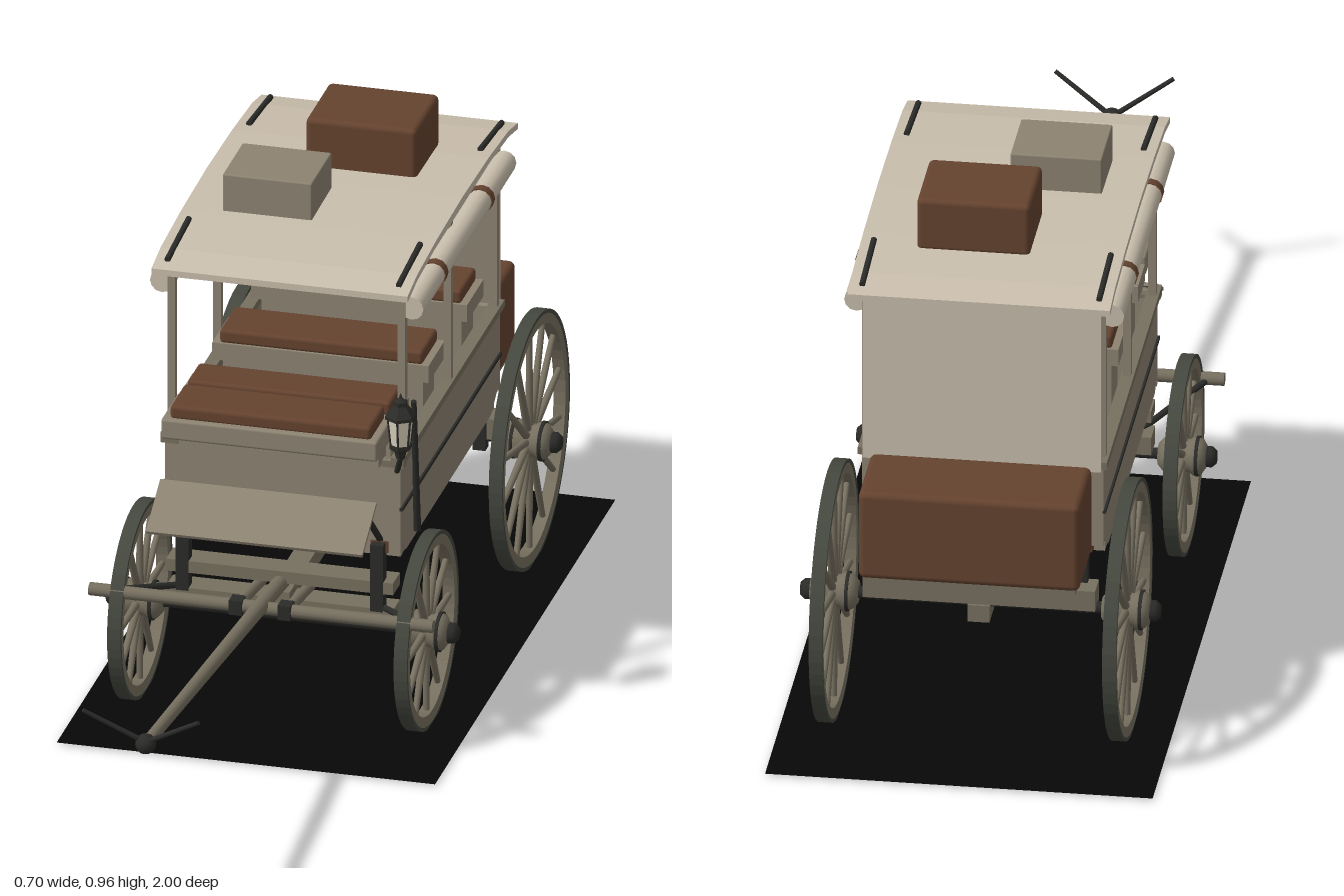
import * as THREE from 'three';
import { RoundedBoxGeometry } from 'three/addons/geometries/RoundedBoxGeometry.js';

const mat = (name, color, side = THREE.FrontSide) => {
  const m = new THREE.MeshStandardMaterial({ color, side });
  m.name = name;
  return m;
};

export function createModel() {
  const root = new THREE.Group();
  root.name = 'carriage';
  const cream = mat('cream canvas', 0xc9beac);
  const taupe = mat('taupe paint', 0x8d8372);
  const wood = mat('weathered wood', 0x777060);
  const tyre = mat('dark tyre', 0x45483f);
  const iron = mat('black iron', 0x2b2c29);
  const brown = mat('brown leather', 0x65432f);
  const glass = mat('lamp glass', 0xd6ccb8);
  const black = mat('black ground', 0x070707, THREE.DoubleSide);

  const add = (name, geo, m, parent = root) => {
    const mesh = new THREE.Mesh(geo, m);
    mesh.name = name;
    parent.add(mesh);
    return mesh;
  };
  // Box given by its ranges on each axis
  const box = (name, m, [x0, x1], [y0, y1], [z0, z1], r = 0) => {
    const s = [x1 - x0, y1 - y0, z1 - z0];
    const g = r ? new RoundedBoxGeometry(...s, 2, r) : new THREE.BoxGeometry(...s);
    return add(name, g.translate((x0 + x1) / 2, (y0 + y1) / 2, (z0 + z1) / 2), m);
  };
  // Round bar between two points
  const rod = (name, m, a, b, r0, r1 = r0, parent = root) => {
    const p = new THREE.Vector3(...a), q = new THREE.Vector3(...b), d = q.clone().sub(p);
    const mesh = add(name, new THREE.CylinderGeometry(r1, r0, d.length(), 12), m, parent);
    mesh.position.copy(p).add(q).multiplyScalar(0.5);
    mesh.quaternion.setFromUnitVectors(new THREE.Vector3(0, 1, 0), d.normalize());
    return mesh;
  };
  // Side profile in (z, y), extruded across x
  const slab = (name, m, pts, x0, x1) => {
    const shape = new THREE.Shape(pts.map(p => new THREE.Vector2(...p)));
    const g = new THREE.ExtrudeGeometry(shape, { depth: x1 - x0, bevelEnabled: false });
    return add(name, g.rotateY(-Math.PI / 2).translate(x1, 0, 0), m);
  };
  const lathe = (pts, n) => new THREE.LatheGeometry(pts.map(p => new THREE.Vector2(...p)), n);
  const flat = g => { const f = g.toNonIndexed(); f.computeVertexNormals(); return f; };
  const ring = (ri, ro, w) => flat(lathe([[ri, -w], [ro, -w], [ro, w], [ri, w], [ri, -w]], 56)).rotateZ(-Math.PI / 2);

  // Ground mat
  add('ground', new THREE.PlaneGeometry(0.7, 1.26).rotateX(-Math.PI / 2).translate(0, 0.004, -0.37), black);

  // Wheels with iron tyre, felloe, spokes and turned hub
  const wheel = (name, side, z, R, spokes) => {
    const g = new THREE.Group();
    g.name = name;
    add('tyre', ring(R - 0.007, R, 0.0125), tyre, g);
    add('felloe', ring(R - 0.026, R - 0.006, 0.011), wood, g);
    for (let i = 0; i < spokes; i++) {
      const a = (i / spokes) * Math.PI * 2, c = Math.cos(a), s = Math.sin(a);
      rod('spoke', wood, [0, 0.03 * c, 0.03 * s], [0, (R - 0.02) * c, (R - 0.02) * s], 0.0075, 0.0055, g);
    }
    const hub = [[0, -0.045], [0.02, -0.045], [0.032, -0.034], [0.036, -0.02], [0.03, -0.012], [0.03, 0.012],
      [0.036, 0.02], [0.032, 0.034], [0.02, 0.042], [0, 0.042]];
    add('hub', lathe(hub, 20).rotateZ(-Math.PI / 2), wood, g);
    add('hubCap', lathe([[0.019, 0.04], [0.019, 0.052], [0.012, 0.06], [0, 0.06]], 16).rotateZ(-Math.PI / 2), iron, g);
    for (const x of [-0.026, 0.026])
      add('hubBand', new THREE.CylinderGeometry(0.037, 0.037, 0.006, 20).rotateZ(Math.PI / 2).translate(x, 0, 0), iron, g);
    g.position.set(side * 0.265, R, z);
    if (side < 0) g.rotation.y = Math.PI;
    root.add(g);
  };
  for (const s of [-1, 1]) {
    wheel('frontWheel', s, 0, 0.182, 12);
    wheel('rearWheel', s, -0.72, 0.237, 14);
  }

  // Running gear
  rod('frontAxle', iron, [-0.3, 0.182, 0], [0.3, 0.182, 0], 0.01);
  rod('rearAxle', iron, [-0.3, 0.237, -0.72], [0.3, 0.237, -0.72], 0.011);
  box('frontBolster', wood, [-0.21, 0.21], [0.19, 0.225], [-0.025, 0.025]);
  box('rearBolster', wood, [-0.21, 0.21], [0.24, 0.28], [-0.745, -0.695]);
  box('reach', wood, [-0.02, 0.02], [0.207, 0.24], [-0.75, 0.03]);
  box('upperBolster', wood, [-0.21, 0.21], [0.255, 0.278], [-0.025, 0.025]);
  rod('splinterBar', wood, [-0.318, 0.262, 0.15], [0.318, 0.262, 0.15], 0.012);
  for (const s of [-1, 1]) {
    rod('futchell', wood, [s * 0.045, 0.262, 0.16], [s * 0.045, 0.235, -0.02], 0.01);
    box('splinterClip', iron, [s * 0.045 - 0.012, s * 0.045 + 0.012], [0.248, 0.276], [0.137, 0.165]);
    rod('splinterBrace', iron, [s * 0.29, 0.262, 0.15], [s * 0.18, 0.22, 0], 0.006);
    for (const z of [0.015, -0.7]) box('spring stand', iron, [s * 0.18 - 0.012, s * 0.18 + 0.012], [0.22, 0.35], [z - 0.012, z + 0.012]);
    // Leather brace slung under the body
    const lower = [[0.01, 0.33], [-0.07, 0.302], [-0.2, 0.287], [-0.33, 0.281], [-0.46, 0.286], [-0.58, 0.302], [-0.69, 0.33]];
    slab('leatherBrace', brown, [...lower, ...lower.map(([z, y]) => [z, y + 0.022]).reverse()], s * 0.18 - 0.016, s * 0.18 + 0.016);
  }

  // Draught pole with yoke arms
  rod('pole', wood, [0, 0.25, -0.01], [0, 0.353, 0.96], 0.015, 0.011);
  add('poleTip', new THREE.SphereGeometry(0.019, 16, 10).translate(0, 0.354, 0.96), iron);
  for (const s of [-1, 1]) rod('yokeArm', iron, [0, 0.357, 0.96], [s * 0.107, 0.423, 0.995], 0.005, 0.004);

  // Open-topped body
  const profile = [[0, 0.51], [0, 0.35], [-0.035, 0.32], [-0.63, 0.32], [-0.69, 0.36], [-0.69, 0.51]];
  for (const s of [-1, 1]) {
    const [x0, x1] = s < 0 ? [-0.218, -0.202] : [0.202, 0.218];
    slab('bodySide', taupe, profile, x0, x1);
    box('sideStripe', iron, [s * 0.219 - 0.003, s * 0.219 + 0.003], [0.411, 0.418], [-0.692, 0.002]);
    box('topRail', wood, [s * 0.213 - 0.012, s * 0.213 + 0.012], [0.503, 0.517], [-0.7, 0.008]);
  }
  box('bodyFront', taupe, [-0.218, 0.218], [0.322, 0.51], [-0.012, 0.002]);
  box('bodyBack', taupe, [-0.218, 0.218], [0.345, 0.51], [-0.692, -0.678]);
  box('floor', taupe, [-0.216, 0.216], [0.32, 0.335], [-0.66, -0.01]);
  box('frontRail', wood, [-0.225, 0.225], [0.498, 0.51], [-0.012, 0.008]);

  // Seats: base, tray and cushion
  for (const [z0, z1] of [[-0.125, -0.035], [-0.375, -0.26], [-0.645, -0.53]]) {
    box('seatBase', taupe, [-0.185, 0.185], [0.335, 0.55], [z0 + 0.018, z1 - 0.018]);
    box('seatTray', taupe, [-0.2, 0.2], [0.545, 0.578], [z0, z1]);
    box('seatCushion', brown, [-0.188, 0.188], [0.576, 0.603], [z0 + 0.004, z1 - 0.004], 0.007);
  }
  box('driverSeat', taupe, [-0.2, 0.2], [0.548, 0.587], [-0.02, 0.1], 0.005);
  box('driverCushion', brown, [-0.186, 0.186], [0.583, 0.611], [-0.012, 0.09], 0.008);
  box('driverSeatBase', taupe, [-0.185, 0.185], [0.505, 0.55], [-0.02, 0.03]);
  slab('footboard', taupe, [[0.1, 0.465], [0.2, 0.406], [0.203, 0.412], [0.103, 0.471]], -0.2, 0.2);
  for (const s of [-1, 1]) rod('footboardBracket', iron, [s * 0.18, 0.35, 0], [s * 0.18, 0.455, 0.115], 0.006);

  // Posts, rear wall and rolled side curtains
  for (const s of [-1, 1]) {
    for (const z of [-0.03, -0.35, -0.67])
      box('roofPost', taupe, [s * 0.213 - 0.007, s * 0.213 + 0.007], [0.51, 0.835], [z - 0.007, z + 0.007]);
    rod('rolledCurtain', cream, [s * 0.231, 0.8, -0.025], [s * 0.231, 0.8, -0.675], 0.022);
    for (const z of [-0.185, -0.51]) rod('curtainStrap', brown, [s * 0.231, 0.8, z - 0.009], [s * 0.231, 0.8, z + 0.009], 0.024);
  }
  box('rearWall', cream, [-0.215, 0.215], [0.5, 0.83], [-0.706, -0.7]);
  box('rearWallLining', taupe, [-0.215, 0.215], [0.5, 0.825], [-0.7, -0.694]);

  // Gently arched roof with its frame and grab rails
  const arch = [[0.025, 0.846], [-0.04, 0.859], [-0.18, 0.868], [-0.36, 0.872], [-0.54, 0.868], [-0.68, 0.859], [-0.745, 0.846]];
  slab('roof', cream, [...arch, ...arch.map(([z, y]) => [z, y - 0.012]).reverse()], -0.237, 0.237);
  box('roofFrame', cream, [-0.222, 0.222], [0.828, 0.847], [-0.71, -0.003]);
  for (const s of [-1, 1]) for (const [z0, y0, z1, y1] of [[0, 0.855, -0.15, 0.869], [-0.57, 0.869, -0.72, 0.855]])
    rod('roofRail', iron, [s * 0.214, y0, z0], [s * 0.214, y1, z1], 0.0055);

  // Luggage
  box('largeCase', brown, [-0.07, 0.135], [0.86, 0.963], [-0.585, -0.42], 0.01);
  box('smallCase', taupe, [-0.165, 0], [0.86, 0.94], [-0.34, -0.2], 0.003);
  box('rearTrunk', brown, [-0.2, 0.2], [0.342, 0.515], [-0.875, -0.71], 0.012);
  box('trunkShelf', wood, [-0.19, 0.19], [0.328, 0.344], [-0.86, -0.66]);

  // Side lamp on its bracket
  const lamp = new THREE.Group();
  lamp.name = 'lamp';
  lamp.position.set(0.24, 0, 0.085);
  root.add(lamp);
  add('lampGlass', flat(lathe([[0.018, 0.582], [0.024, 0.637]], 6)), glass, lamp);
  add('lampBase', flat(lathe([[0, 0.552], [0.008, 0.555], [0.012, 0.57], [0.021, 0.576], [0.021, 0.584], [0, 0.584]], 6)), iron, lamp);
  add('lampHood', flat(lathe([[0, 0.635], [0.029, 0.635], [0.029, 0.641], [0.013, 0.66], [0.013, 0.668], [0.004, 0.673], [0, 0.684]], 6)), iron, lamp);
  for (let i = 0; i < 6; i++) {
    const s = Math.sin(i * Math.PI / 3), c = Math.cos(i * Math.PI / 3);
    rod('lampBar', iron, [0.018 * s, 0.58, 0.018 * c], [0.024 * s, 0.638, 0.024 * c], 0.002, 0.002, lamp);
  }
  rod('lampStem', iron, [0, 0.556, 0], [-0.012, 0.52, -0.02], 0.005, 0.005, lamp);
  rod('lampArm', iron, [-0.012, 0.52, -0.02], [-0.025, 0.505, -0.09], 0.005, 0.005, lamp);

  // Brake lever
  rod('brakeLever', iron, [0.234, 0.352, -0.055], [0.242, 0.63, 0], 0.007, 0.005);
  return root;
}
